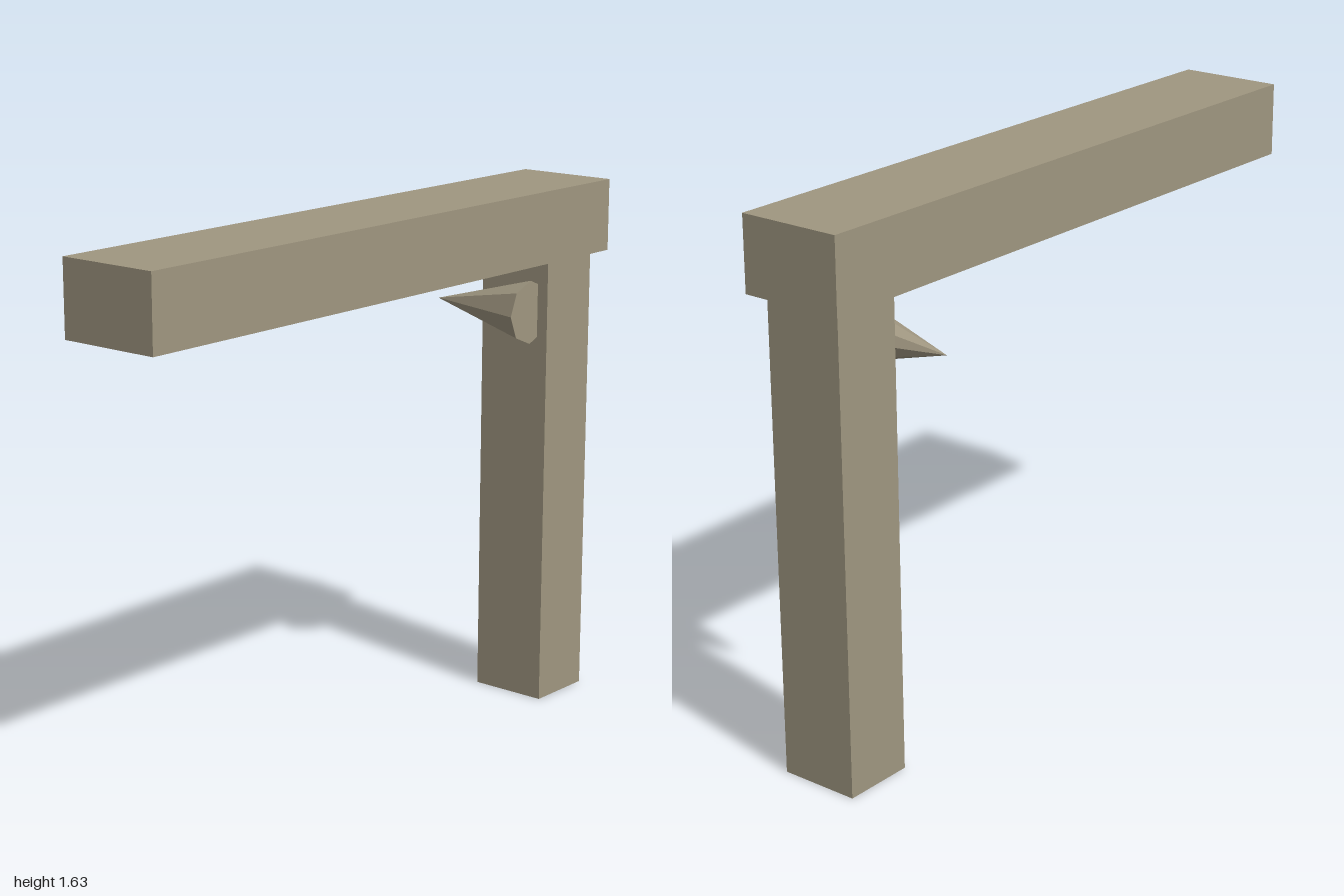
import * as THREE from 'three';

export function createModel() {
  const model = new THREE.Group();
  model.name = 'postAndBeam';

  const wood = new THREE.MeshStandardMaterial({ color: 0x9f9680, flatShading: true });
  wood.name = 'weathered wood';

  const add = (name, geometry, x, y, z) => {
    const mesh = new THREE.Mesh(geometry, wood);
    mesh.name = name;
    mesh.position.set(x, y, z);
    model.add(mesh);
  };

  // Horizontal beam resting on the post
  add('beam', new THREE.BoxGeometry(2, 0.22, 0.32), 0, 1.522, 0.055);

  // Upright post under the beam's left end
  add('post', new THREE.BoxGeometry(0.22, 1.412, 0.246), 0.847, 0.706, 0.057);

  // Eight-sided spike lying on its side, its point towards the back
  const spike = new THREE.ConeGeometry(0.098, 0.355, 8).rotateX(-Math.PI / 2);
  add('spike', spike, 0.699, 1.252, -0.034);

  return model;
}
